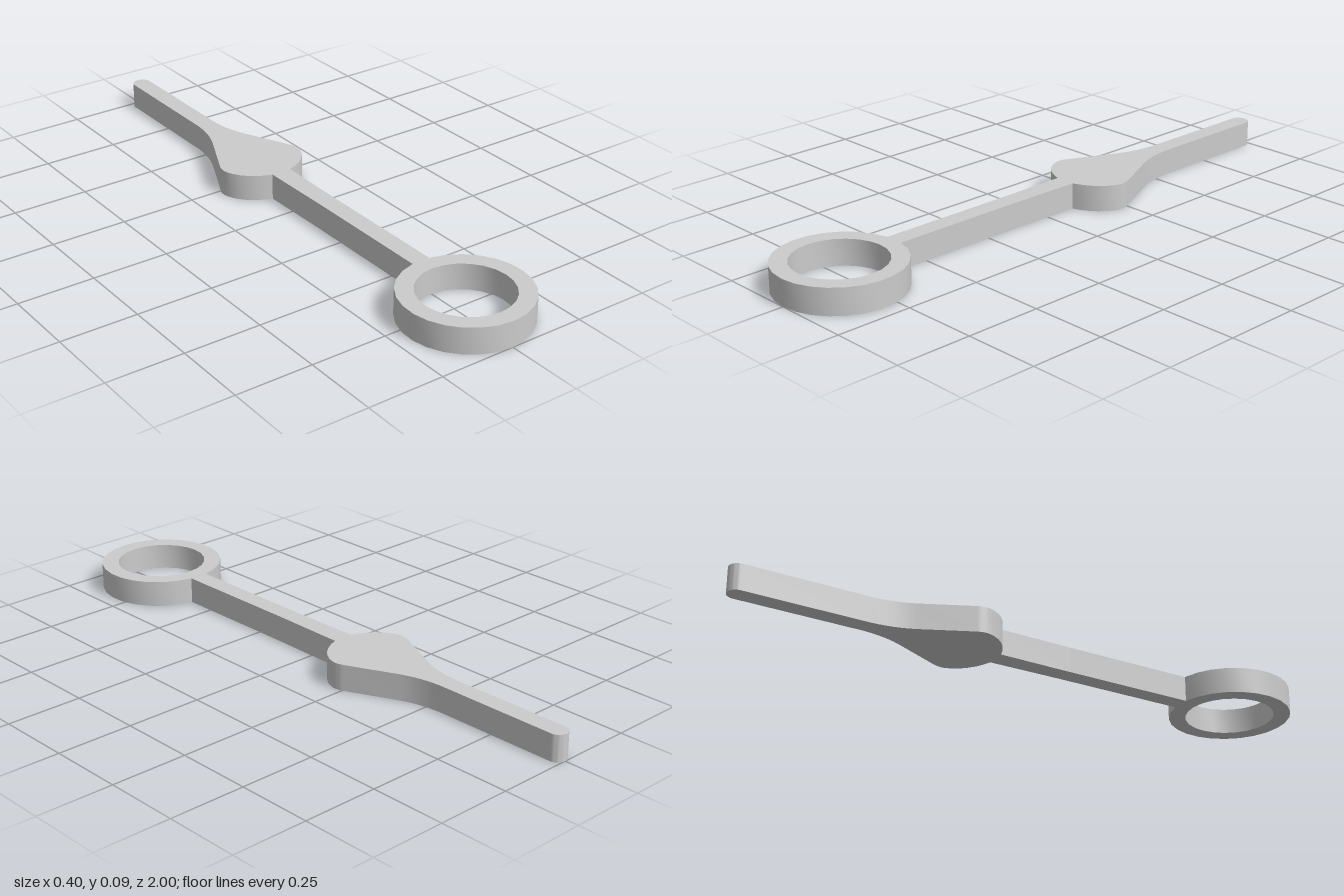
import * as THREE from 'three';
import { toCreasedNormals } from 'three/addons/utils/BufferGeometryUtils.js';

const HEIGHT = 0.086;
const RING = { z: 0.797, outer: 0.203, inner: 0.148 };
const STEM = 0.031; // half width of the stem and the tip

// Right half of the outline, from the ring's far end to the tip (outline y = -z)
function halfOutline() {
  const join = Math.PI / 2 - Math.asin(STEM / RING.outer);
  const path = new THREE.Path();
  path.absarc(0, -RING.z, RING.outer, -Math.PI / 2, join, false);
  path.lineTo(STEM, -0.15);
  path.lineTo(0.034, 0.108);
  // spade: rounded shoulder, then a long taper into the needle
  path.bezierCurveTo(0.09, 0.125, 0.135, 0.165, 0.145, 0.215);
  path.bezierCurveTo(0.146, 0.235, 0.142, 0.245, 0.135, 0.26);
  path.lineTo(0.062, 0.415);
  path.bezierCurveTo(0.042, 0.46, 0.034, 0.5, STEM, 0.55);
  path.lineTo(STEM, 1 - STEM);
  path.absarc(0, 1 - STEM, STEM, 0, Math.PI / 2, false);
  return path.getPoints(6);
}

export function createModel() {
  const group = new THREE.Group();
  group.name = 'pointerHand';

  // Mirror the half outline, skipping the two points on the centre line
  const right = halfOutline();
  const left = right.slice(1, -1).reverse().map((p) => new THREE.Vector2(-p.x, p.y));
  const shape = new THREE.Shape([...right, ...left]);

  // Eye of the ring
  const eye = new THREE.Path();
  eye.absarc(0, -RING.z, RING.inner, 0, Math.PI * 2, true);
  shape.holes.push(eye);

  // Extrude upwards and lay flat
  const flat = new THREE.ExtrudeGeometry(shape, { depth: HEIGHT, bevelEnabled: false, curveSegments: 12 });
  flat.rotateX(-Math.PI / 2);

  const hand = new THREE.Mesh(
    toCreasedNormals(flat, Math.PI / 6),
    new THREE.MeshStandardMaterial({ color: 0xcccccc })
  );
  hand.name = 'hand';
  group.add(hand);
  return group;
}
